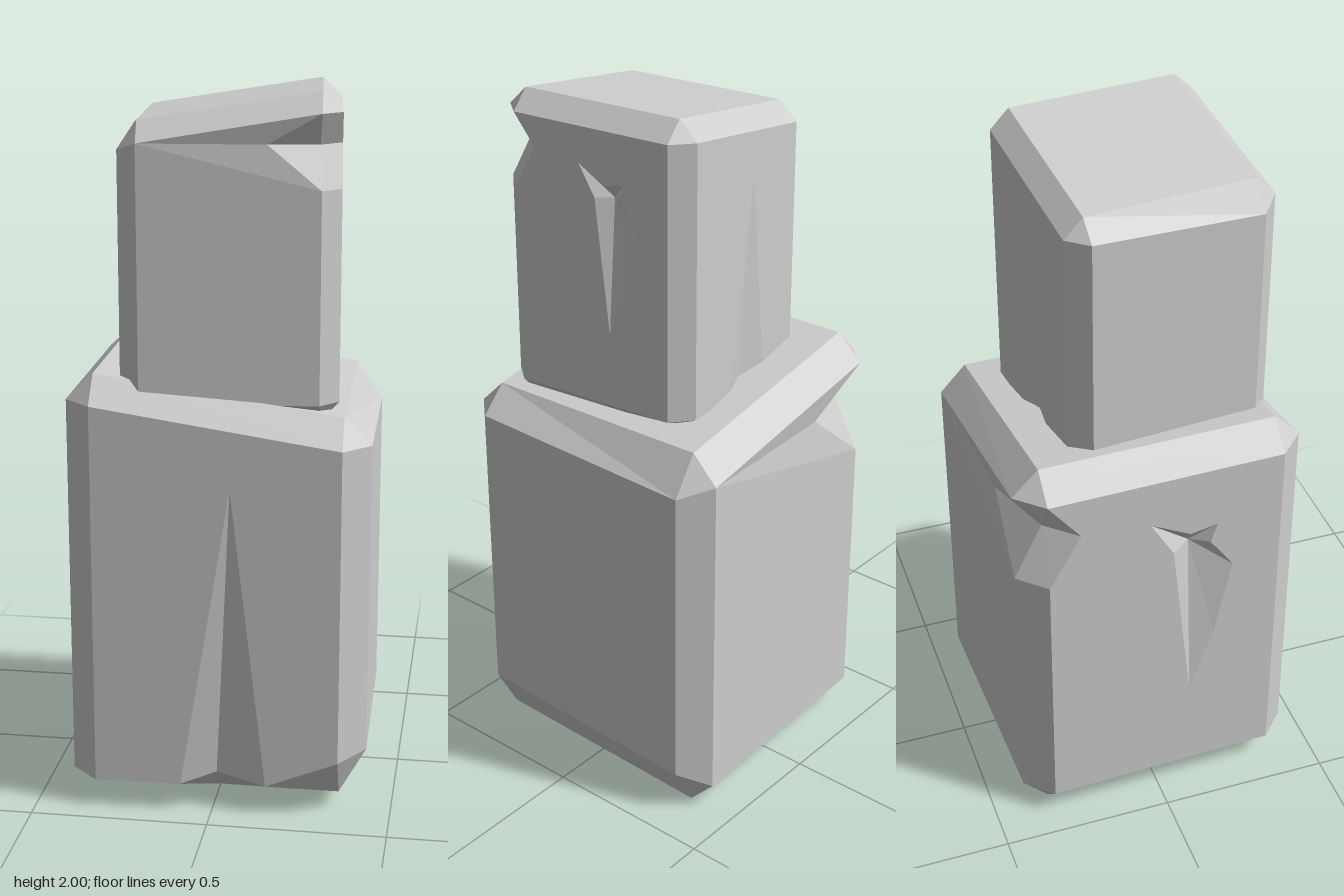
import * as THREE from 'three';

const H = 0.418, I = 0.342; // half width, and half width inside the chamfers
const V = (x, y, z) => new THREE.Vector3(x, y, z);

// Bevelled stone block with a chipped corner, a star crack and a dent at its foot
function stoneGeometry() {
  const pos = [];
  // Adds a flat polygon (with optional hole) that faces roughly along hint
  const poly = (hint, pts, hole = []) => {
    const h = V(...hint), a = h.toArray().map(Math.abs);
    const drop = a.indexOf(Math.max(...a));
    const flat = p => new THREE.Vector2(...p.toArray().filter((_, i) => i !== drop));
    const all = [...pts, ...hole];
    const tris = all.length === 3 ? [[0, 1, 2]]
      : THREE.ShapeUtils.triangulateShape(pts.map(flat), hole.length ? [hole.map(flat)] : []);
    for (const t of tris) {
      const [p, q, r] = t.map(i => all[i]);
      const n = q.clone().sub(p).cross(r.clone().sub(p));
      for (const v of n.dot(h) < 0 ? [p, r, q] : [p, q, r]) pos.push(v.x, v.y, v.z);
    }
  };

  // Each corner has one vertex on its x face, z face and top or bottom face
  const corner = (sx, sz, yx, yz, yy) => ({
    sx, sz, x: V(sx * H, yx, sz * I), z: V(sx * I, yz, sz * H), y: V(sx * I, yy, sz * I),
  });
  const top = [corner(1, 1, 1.17, 1.17, 1.245), corner(-1, 1, 1.03, 1.06, 1.14),
    corner(-1, -1, 1.065, 1.065, 1.14), corner(1, -1, 1.17, 1.17, 1.245)];
  const low = [corner(1, 1, 0.08, 0.08, 0), corner(-1, 1, 0.13, 0.08, 0),
    corner(-1, -1, 0.18, 0.165, 0.045), corner(1, -1, 0.08, 0.08, 0.045)];
  const [tA, tB, tC, tD] = top, [lA, lB, lC, lD] = low;

  // Chipped corner
  const chipL = V(0.14, 1.057, H - 0.014), chipR = V(H, 1.05, 0.25), deep = V(0.335, 1.05, 0.335);
  const P = V(I, 0.89, H), Q = V(H, 0.89, I);
  for (const t of [[tA.z, chipL, deep], [tA.z, deep, tA.x], [tA.x, deep, chipR],
    [chipL, P, deep], [P, Q, deep], [Q, chipR, deep]]) poly([1, 0, 1], t);

  // Front face
  poly([0, 0, 1], [tB.z, tA.z, chipL]);
  poly([0, 0, 1], [tB.z, chipL, P]);
  poly([0, 0, 1], [tB.z, P, lA.z, lB.z]);

  // Right face with the star crack
  const star = [[0.05, 1.03], [-0.07, 0.965], [-0.15, 0.98], [-0.13, 0.92], [-0.2, 0.82],
    [-0.15, 0.58], [-0.08, 0.37], [-0.02, 0.91]].map(([z, y]) => V(H, y, z));
  const pit = V(H - 0.045, 0.91, -0.08);
  poly([1, 0, 0], [tA.x, chipR, Q, lA.x, lD.x, tD.x], star);
  star.forEach((p, i) => poly([1, 0, 0], [p, star[(i + 1) % star.length], pit]));

  // Left face
  poly([-1, 0, 0], [tB.x, tC.x, lC.x, lB.x]);

  // Back face with the dent at its foot
  const apex = V(-0.04, 0.95, -H), d1 = V(0.1, 0.08, -H), d2 = V(0, 0.11, -H + 0.03);
  const d3 = V(-0.14, 0.085, -H), mid = V(0, 0.03, -0.3);
  poly([0, 0, -1], [tD.z, tC.z, lC.z, d3, apex, d1, lD.z]);
  poly([0, 0, -1], [apex, d1, d2]);
  poly([0, 0, -1], [apex, d2, d3]);
  for (const t of [[lD.z, d1, lD.y], [d1, mid, lD.y], [d1, d2, mid], [d2, d3, mid],
    [d3, lC.y, mid], [d3, lC.z, lC.y]]) poly([0, -1, -1], t);

  // Top and bottom
  poly([0, 1, 0], top.map(c => c.y));
  poly([0, -1, 0], [lA.y, lB.y, V(0, 0, -0.08)]);
  for (const [a, b] of [[lB.y, lC.y], [lC.y, mid], [mid, lD.y], [lD.y, lA.y]])
    poly([0, -1, 0], [a, b, V(0, 0, -0.08)]);

  // Chamfers around the top and bottom, and the corner triangles
  for (const [ring, s] of [[top, 1], [low, -1]]) {
    const [a, b, c, d] = ring;
    poly([0, s, 0.9], [a.z, b.z, b.y, a.y]);
    if (s > 0) poly([0, s, -0.9], [c.z, d.z, d.y, c.y]);
    poly([-0.9, s, 0], [b.x, c.x, c.y, b.y]);
    poly([0.9, s, 0], [a.x, d.x, d.y, a.y]);
    for (const k of ring) poly([k.sx, s, k.sz], [k.x, k.y, k.z]);
  }
  // Upright chamfers
  poly([1, 0, 0.9], [P, Q, lA.x, lA.z]);
  for (let i = 1; i < 4; i++)
    poly([top[i].sx, 0, 0.9 * top[i].sz], [top[i].z, top[i].x, low[i].x, low[i].z]);

  const g = new THREE.BufferGeometry();
  g.setAttribute('position', new THREE.Float32BufferAttribute(pos, 3));
  g.computeVertexNormals();
  return g;
}

export function createModel() {
  const group = new THREE.Group();
  group.name = 'stackedStones';
  const stone = new THREE.MeshStandardMaterial({ color: 0xcecece, flatShading: true });
  stone.name = 'stone grey';
  const geometry = stoneGeometry();

  // The same block twice: the large one turned half round, the small one on top
  const lower = new THREE.Mesh(geometry, stone);
  lower.name = 'lowerStone';
  lower.rotation.y = Math.PI + 0.03;

  const upper = new THREE.Mesh(geometry, stone);
  upper.name = 'upperStone';
  upper.scale.setScalar(0.714);
  upper.rotation.y = 0.1;
  upper.position.set(0.01, 1.11, 0.05);

  group.add(lower, upper);
  return group;
}
